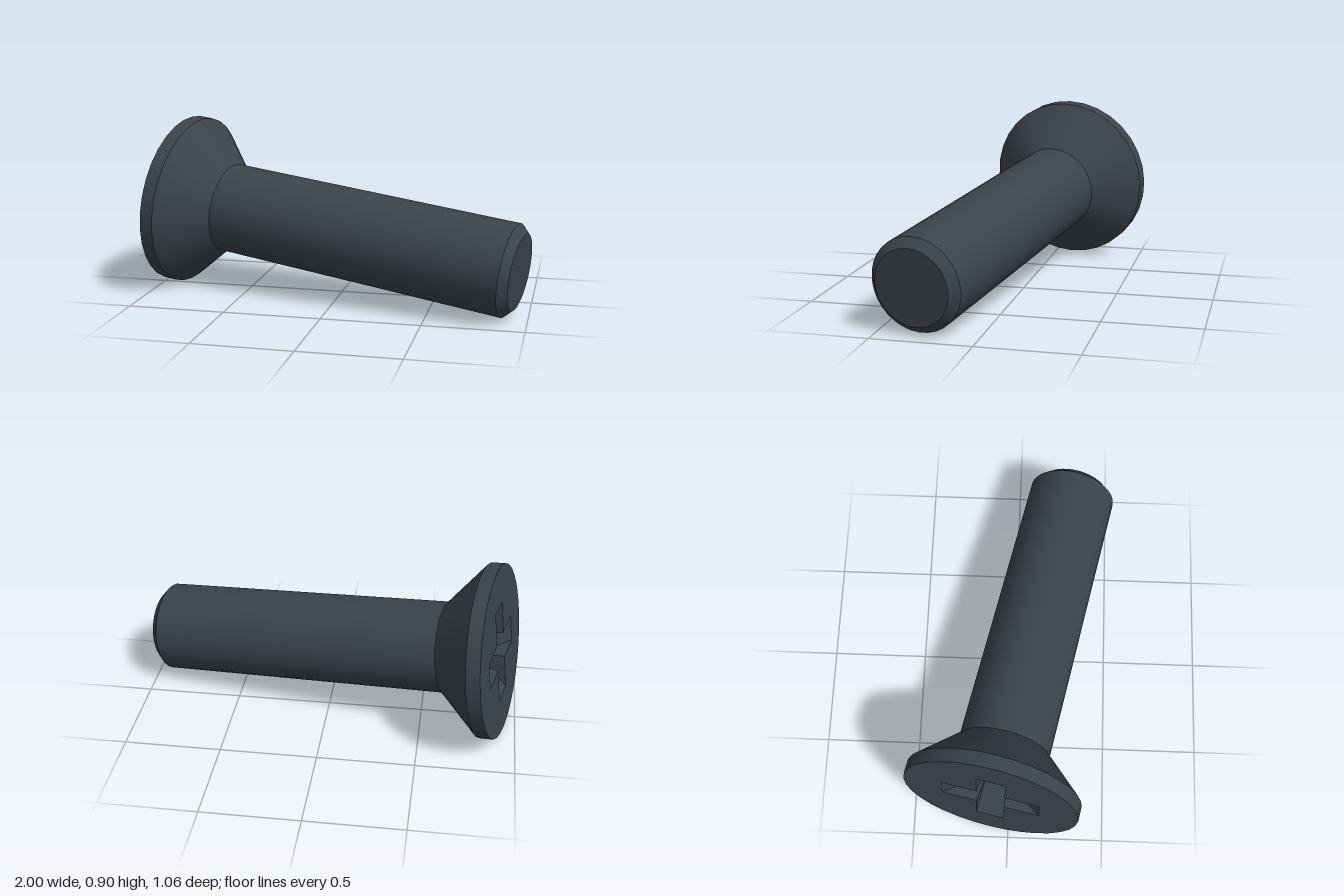
import * as THREE from 'three';

const SEGMENTS = 32;
const LENGTH = 1.902;

export function createModel() {
  const steel = new THREE.MeshStandardMaterial({ color: 0x3c434b });
  steel.name = 'dark steel';

  const screw = new THREE.Group();
  screw.name = 'screw';
  const add = (name, geometry) => {
    const mesh = new THREE.Mesh(geometry, steel);
    mesh.name = name;
    screw.add(mesh);
  };

  // Each band is a separate lathe so the edges between them stay sharp.
  // Local +z points out of the head; d is the distance behind the head face.
  const band = (name, r0, d0, r1, d1) => {
    const profile = [new THREE.Vector2(r1, -d1), new THREE.Vector2(r0, -d0)];
    add(name, new THREE.LatheGeometry(profile, SEGMENTS).rotateX(Math.PI / 2));
  };
  band('headRim', 0.451, 0, 0.451, 0.072);
  band('headCone', 0.451, 0.072, 0.237, 0.284);
  band('shaft', 0.237, 0.284, 0.237, LENGTH - 0.043);
  band('tipChamfer', 0.237, LENGTH - 0.043, 0.194, LENGTH);
  add('tipFace', new THREE.CircleGeometry(0.194, SEGMENTS).rotateX(Math.PI).translate(0, 0, -LENGTH));

  // Counter-clockwise outline of a cross with arm reach l and half width w
  const cross = (l, w) => {
    const points = [];
    for (let k = 0; k < 4; k++) {
      for (const [x, y] of [[l, -w], [l, w], [w, w]]) {
        points.push(new THREE.Vector2(x, y).rotateAround(new THREE.Vector2(), k * Math.PI / 2));
      }
    }
    return points;
  };
  const rim = cross(0.25, 0.072);
  const base = cross(0.07, 0.055);
  const depth = 0.13;

  // Head face with the cross cut out of it
  const disc = [];
  for (let i = 0; i < SEGMENTS; i++) {
    const a = i / SEGMENTS * Math.PI * 2;
    disc.push(new THREE.Vector2(0.451 * Math.cos(a), 0.451 * Math.sin(a)));
  }
  const face = new THREE.Shape(disc);
  face.holes.push(new THREE.Path(rim));
  add('headFace', new THREE.ShapeGeometry(face));

  // Sloping walls of the driver recess, facing inward
  const walls = [];
  rim.forEach((a, i) => {
    const j = (i + 1) % rim.length;
    const c = rim[j], b = base[i], d = base[j];
    walls.push(c.x, c.y, 0, d.x, d.y, -depth, b.x, b.y, -depth);
    walls.push(c.x, c.y, 0, b.x, b.y, -depth, a.x, a.y, 0);
  });
  const wallGeometry = new THREE.BufferGeometry();
  wallGeometry.setAttribute('position', new THREE.Float32BufferAttribute(walls, 3));
  wallGeometry.computeVertexNormals();
  add('recessWalls', wallGeometry);
  add('recessFloor', new THREE.ShapeGeometry(new THREE.Shape(base)).translate(0, 0, -depth));

  // Lay the screw down at its slant, with the cross kept upright
  const out = new THREE.Vector3(-1, 0.117, -0.212).normalize();
  const up = new THREE.Vector3(0, 1, 0).addScaledVector(out, -out.y).normalize();
  const side = new THREE.Vector3().crossVectors(up, out);
  screw.quaternion.setFromRotationMatrix(new THREE.Matrix4().makeBasis(side, up, out));
  screw.position.set(-0.894, 0.454, -0.088);

  const model = new THREE.Group();
  model.name = 'countersunkScrew';
  model.add(screw);
  return model;
}
